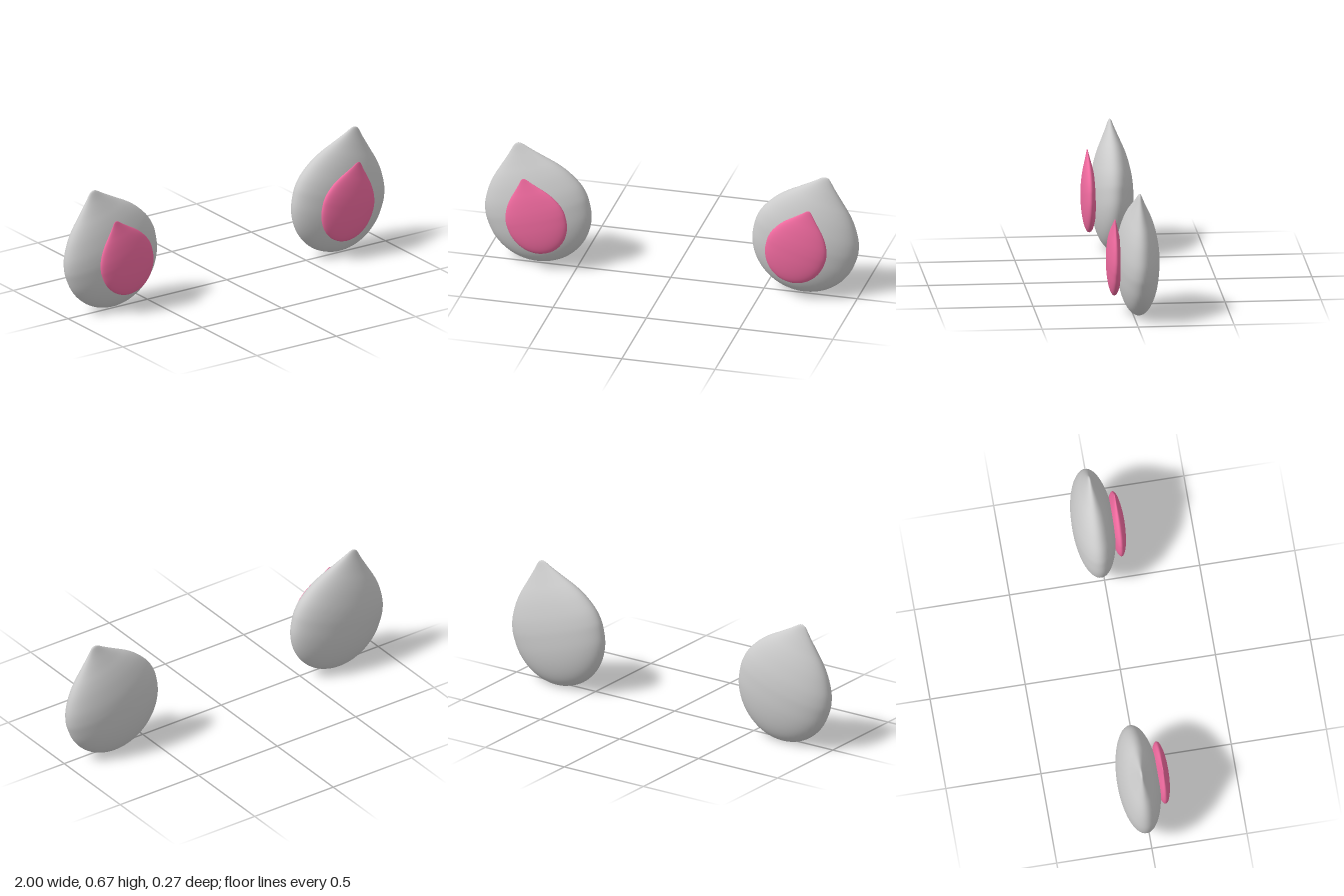
import * as THREE from 'three';

// Teardrop of revolution: round base, blunt pointed tip along +y
function teardropGeometry() {
  const R = 0.283;
  const pts = [];
  for (let i = 0; i <= 6; i++) {
    const a = (i / 6) * Math.PI / 2;
    pts.push(new THREE.Vector2(R * Math.sin(a), -R * Math.cos(a)));
  }
  [[0.281, 0.05], [0.264, 0.11], [0.225, 0.18], [0.178, 0.238], [0.12, 0.293],
    [0.062, 0.348], [0.026, 0.385], [0.012, 0.395], [0, 0.398]]
    .forEach(([r, y]) => pts.push(new THREE.Vector2(r, y)));
  const profile = new THREE.SplineCurve(pts).getPoints(72);
  profile.forEach((p) => { p.x = Math.max(p.x, 0); });
  profile[0].x = profile[profile.length - 1].x = 0;
  return new THREE.LatheGeometry(profile, 64);
}

export function createModel() {
  const group = new THREE.Group();
  const grey = new THREE.MeshStandardMaterial({ color: 0xcccccc });
  const pink = new THREE.MeshStandardMaterial({ color: 0xf06a9f });
  const tilt = THREE.MathUtils.degToRad(16.5);

  // Flattened teardrop, tilted so that its tip leans outwards
  const addDrop = (parent, name, material, side, position, scale) => {
    const mesh = new THREE.Mesh(teardropGeometry().scale(...scale), material);
    mesh.name = name;
    mesh.position.set(side * position[0], position[1], position[2]);
    mesh.rotation.z = -side * tilt;
    parent.add(mesh);
  };

  for (const side of [1, -1]) {
    const ear = new THREE.Group();
    ear.name = side > 0 ? 'leftEar' : 'rightEar';
    addDrop(ear, 'outerEar', grey, side, [0.715, 0.285, -0.025], [1, 1, 0.389]);
    addDrop(ear, 'innerEar', pink, side, [0.695, 0.279, 0.0975], [0.575, 0.635, 0.138]);
    group.add(ear);
  }
  return group;
}
